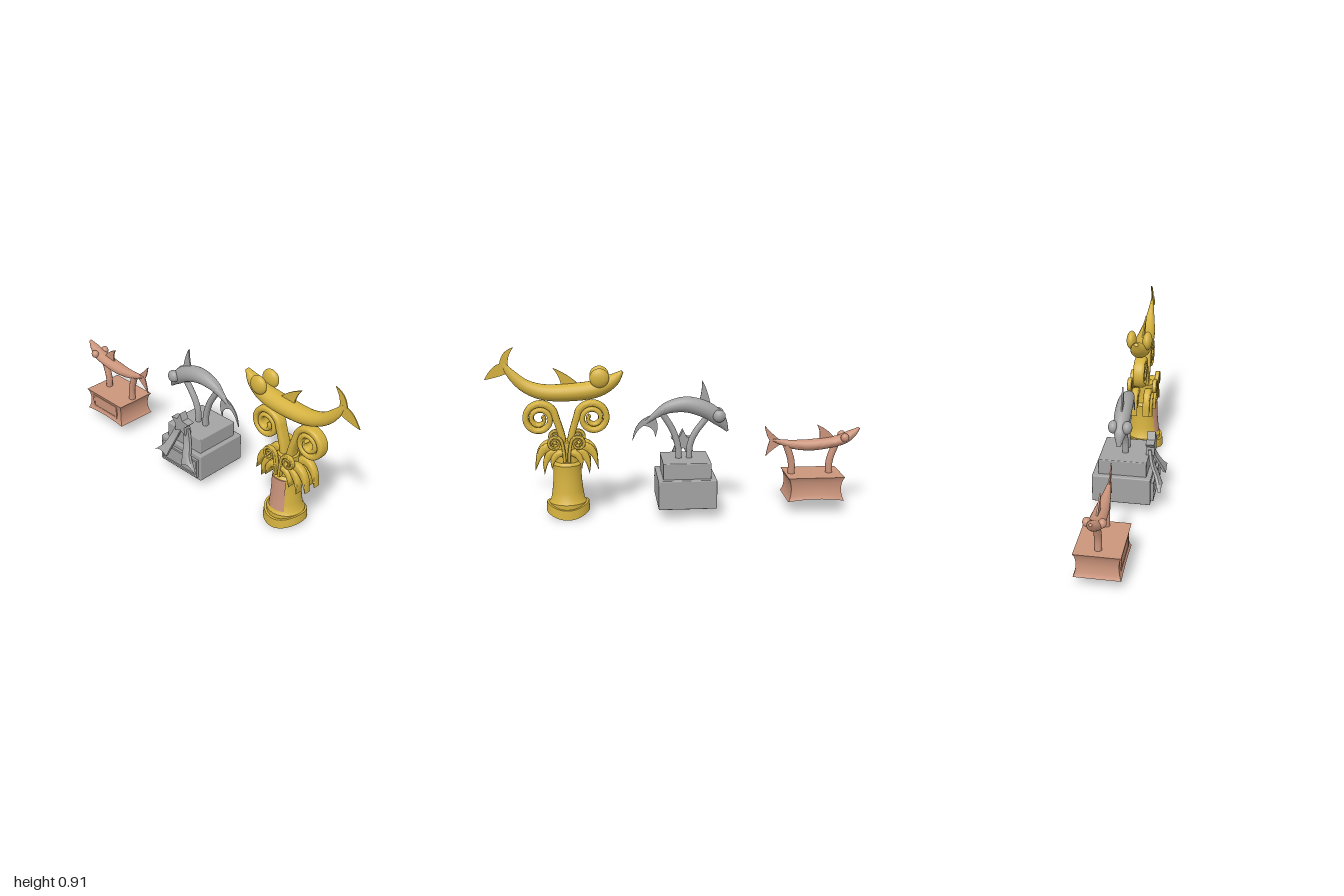
import * as THREE from 'three';
import { toCreasedNormals } from 'three/addons/utils/BufferGeometryUtils.js';
import { RoundedBoxGeometry } from 'three/addons/geometries/RoundedBoxGeometry.js';

const ZC = -0.025; // shared centre plane of the three trophies

function material(name, color) {
  const m = new THREE.MeshStandardMaterial({ color, side: THREE.DoubleSide });
  m.name = name;
  return m;
}

function add(group, name, geometry, mat, x = 0, y = 0, z = 0) {
  const mesh = new THREE.Mesh(geometry, mat);
  mesh.name = name;
  mesh.position.set(x, y, z);
  group.add(mesh);
  return mesh;
}

// Loft along a path in the xy plane; stations are [x, y, half height, half depth].
function sweep(stations, steps = 32, power = 1, sides = 20) {
  const spline = (i) => new THREE.CatmullRomCurve3(
    stations.map((s) => new THREE.Vector3(s[i], s[i + 1], 0)), false, 'catmullrom');
  const path = spline(0), size = spline(2);
  const pos = [], idx = [];
  const bend = (v) => Math.sign(v) * Math.pow(Math.abs(v), power);
  for (let i = 0; i <= steps; i++) {
    const t = i / steps, p = path.getPoint(t), d = path.getTangent(t), s = size.getPoint(t);
    const h = Math.max(s.x, 0.001), w = Math.max(s.y, 0.001);
    for (let j = 0; j < sides; j++) {
      const a = (j / sides) * Math.PI * 2, c = bend(Math.cos(a)) * h;
      pos.push(p.x - d.y * c, p.y + d.x * c, bend(Math.sin(a)) * w);
    }
  }
  for (let i = 0; i < steps; i++) for (let j = 0; j < sides; j++) {
    const k = (j + 1) % sides, a = i * sides + j, b = i * sides + k;
    idx.push(a, b, a + sides, b, b + sides, a + sides);
  }
  const last = steps * sides;
  for (let j = 1; j < sides - 1; j++) idx.push(0, j + 1, j, last, last + j, last + j + 1);
  const g = new THREE.BufferGeometry();
  g.setAttribute('position', new THREE.Float32BufferAttribute(pos, 3));
  g.setIndex(idx);
  return toCreasedNormals(g, 0.75);
}

// Thin plate with a smooth or straight outline, centred in depth.
function plate(points, depth, curved = false) {
  const v = points.map(([x, y]) => new THREE.Vector2(x, y));
  const shape = new THREE.Shape();
  if (curved) {
    shape.moveTo(v[0].x, v[0].y);
    for (let i = 1; i < v.length; i += 2) {
      const e = v[(i + 1) % v.length];
      shape.quadraticCurveTo(v[i].x, v[i].y, e.x, e.y);
    }
  } else shape.setFromPoints(v);
  return new THREE.ExtrudeGeometry(shape, { depth, bevelEnabled: false }).translate(0, 0, -depth / 2);
}

// Raised rectangular border around a thin panel
function framedPanel(group, mat, x, y, z, w, h, depth) {
  const rect = (s, a, b) => s.moveTo(-a, -b).lineTo(a, -b).lineTo(a, b).lineTo(-a, b).closePath();
  const rim = rect(new THREE.Shape(), w / 2, h / 2);
  rim.holes.push(rect(new THREE.Path(), w / 2 - 0.012, h / 2 - 0.012));
  add(group, 'panelFrame', new THREE.ExtrudeGeometry(rim, { depth, bevelEnabled: false }), mat, x, y, z);
  add(group, 'panel', new THREE.BoxGeometry(w - 0.02, h - 0.02, 0.008), mat, x, y, z + 0.004);
}

function fish(mat, { body, eye, fin, tail }) {
  const g = new THREE.Group();
  g.name = 'fish';
  g.position.z = ZC;
  add(g, 'body', sweep(body, 48), mat);
  add(g, 'dorsalFin', plate(fin, 0.008, true), mat);
  add(g, 'tailFin', plate(tail, 0.006, true), mat);
  const [x, y, r, rz, z] = eye;
  for (const s of [1, -1]) {
    add(g, s > 0 ? 'frontEye' : 'backEye', new THREE.SphereGeometry(1, 24, 16), mat, x, y, s * z).scale.set(r, r, rz);
  }
  return g;
}

function bronzeTrophy(mat) {
  const g = new THREE.Group();
  g.name = 'bronzeTrophy';
  // waisted plinth
  const base = new THREE.BoxGeometry(1, 1, 1, 10, 12, 10), p = base.attributes.position;
  for (let i = 0; i < p.count; i++) {
    const x = p.getX(i), t = p.getY(i) + 0.5, z = p.getZ(i);
    const s = 1 - 0.11 * Math.pow(Math.max(0, Math.sin(Math.PI * t)), 0.7);
    const lift = 0.012 * (1 - 4 * x * x) * (1 - t);
    p.setXYZ(i, x * 0.305 * s, 0.07 + t * 0.13 + lift, z * 0.235 * s);
  }
  add(g, 'plinth', toCreasedNormals(base, 0.6), mat, -0.748, 0, -0.022);
  framedPanel(g, mat, -0.75, 0.138, 0.08, 0.21, 0.08, 0.01);
  const posts = [
    [[-0.838, 0.19, 0.019, 0.019], [-0.84, 0.27, 0.019, 0.019], [-0.875, 0.37, 0.019, 0.019]],
    [[-0.63, 0.19, 0.019, 0.019], [-0.628, 0.27, 0.019, 0.019], [-0.6, 0.36, 0.019, 0.019]],
  ];
  for (const s of posts) add(g, 'post', sweep(s, 14), mat, 0, 0, ZC);
  g.add(fish(mat, {
    body: [[-1, 0.445, 0.006, 0.008], [-0.955, 0.41, 0.024, 0.028], [-0.89, 0.378, 0.028, 0.04],
      [-0.75, 0.357, 0.031, 0.037], [-0.64, 0.36, 0.025, 0.025], [-0.56, 0.378, 0.013, 0.012], [-0.52, 0.39, 0.006, 0.004]],
    eye: [-0.912, 0.4, 0.023, 0.02, 0.037],
    fin: [[-0.87, 0.385], [-0.83, 0.44], [-0.765, 0.467], [-0.79, 0.43], [-0.78, 0.385], [-0.82, 0.37]],
    tail: [[-0.585, 0.372], [-0.53, 0.41], [-0.48, 0.468], [-0.49, 0.41], [-0.508, 0.385],
      [-0.495, 0.35], [-0.487, 0.298], [-0.53, 0.345]],
  }));
  return g;
}

function silverTrophy(mat) {
  const g = new THREE.Group(), cx = -0.05;
  g.name = 'silverTrophy';
  add(g, 'lowerPlinth', new RoundedBoxGeometry(0.31, 0.157, 0.315, 2, 0.006), mat, cx, 0.138, -0.0275);
  add(g, 'upperPlinth', new RoundedBoxGeometry(0.255, 0.1, 0.26, 2, 0.005), mat, cx, 0.252, -0.025);
  framedPanel(g, mat, cx, 0.135, 0.129, 0.275, 0.11, 0.016);
  // star ornament
  const star = [];
  for (let i = 0; i < 10; i++) {
    const a = Math.PI / 2 + (i * Math.PI) / 5, r = i % 2 ? 0.034 : 0.068;
    star.push([Math.cos(a) * r, Math.sin(a) * r]);
  }
  add(g, 'star', plate(star, 0.045), mat, cx, 0.358, 0.1125);
  // two flaring ribbons: rows of y, z, inner x, outer x
  const row = new THREE.CatmullRomCurve3([[0.335, 0.11], [0.265, 0.125], [0.2, 0.155], [0.145, 0.178]]
    .map(([y, z]) => new THREE.Vector3(0, y, z)));
  const edge = new THREE.CatmullRomCurve3([[0, 0.045], [0.027, 0.072], [0.045, 0.1], [0.06, 0.155]]
    .map(([a, b]) => new THREE.Vector3(a, b, 0)));
  for (const s of [1, -1]) {
    const rib = new THREE.BoxGeometry(1, 1, 1, 6, 14, 1), p = rib.attributes.position;
    for (let i = 0; i < p.count; i++) {
      const u = 0.5 + s * p.getX(i), v = 0.5 - p.getY(i);
      const c = row.getPoint(v), e = edge.getPoint(v);
      const notch = 0.022 * Math.sin(u * Math.PI) * v * v;
      p.setXYZ(i, s * (e.x + (e.y - e.x) * u), c.y + notch, c.z + p.getZ(i) * 0.016);
    }
    add(g, s > 0 ? 'leftRibbon' : 'rightRibbon', toCreasedNormals(rib, 0.6), mat, cx);
  }
  const r = 0.017;
  const posts = [
    [[-0.07, 0.29, r, r], [-0.075, 0.37, r, r], [-0.105, 0.44, r, r], [-0.165, 0.52, r, r]],
    [[-0.015, 0.29, r, r], [-0.01, 0.37, r, r], [0.02, 0.46, r, r], [0.075, 0.55, r, r]],
  ];
  for (const s of posts) add(g, 'post', sweep(s, 18), mat, 0, 0, ZC);
  g.add(fish(mat, {
    body: [[-0.277, 0.445, 0.007, 0.01], [-0.235, 0.505, 0.036, 0.032], [-0.165, 0.56, 0.045, 0.043],
      [-0.06, 0.592, 0.043, 0.042], [0.04, 0.578, 0.032, 0.032], [0.11, 0.537, 0.018, 0.016], [0.165, 0.495, 0.009, 0.005]],
    eye: [-0.228, 0.533, 0.034, 0.027, 0.036],
    fin: [[-0.185, 0.59], [-0.17, 0.67], [-0.14, 0.72], [-0.14, 0.66], [-0.125, 0.61], [-0.15, 0.58]],
    tail: [[0.12, 0.54], [0.225, 0.515], [0.232, 0.4], [0.205, 0.47], [0.168, 0.482],
      [0.11, 0.47], [0.112, 0.415], [0.08, 0.49]],
  }));
  return g;
}

// Stem rising into an inward spiral; mirrored by side
function volute(side, stem, cx, cy, r0, r1, turns, h, d) {
  const st = stem.map(([x, y]) => [x, y, h, d]), n = Math.round(turns * 12);
  for (let i = 0; i <= n; i++) {
    const t = i / n, a = Math.PI - t * turns * Math.PI * 2, r = r0 + (r1 - r0) * t;
    st.push([cx + Math.cos(a) * r, cy + Math.sin(a) * r, h * (1 - 0.45 * t), d]);
  }
  return sweep(st.map(([x, ...rest]) => [side * x, ...rest]), st.length * 4, 0.6, 20);
}

function goldTrophy(mat, plaqueMat) {
  const g = new THREE.Group(), cx = 0.58;
  g.name = 'goldTrophy';
  // saddle-shaped foot
  const foot = new THREE.CylinderGeometry(0.112, 0.116, 0.05, 48, 1).toNonIndexed(), p = foot.attributes.position;
  for (let i = 0; i < p.count; i++) {
    const x = p.getX(i) / 0.115, z = p.getZ(i) / 0.115;
    p.setY(i, p.getY(i) + 0.04 + 0.018 * x * x - 0.012 * z * z);
  }
  add(g, 'foot', toCreasedNormals(foot, 0.6), mat, cx, 0, ZC);
  // waisted column with its curved plaque
  const v2 = (a) => a.map(([r, y]) => new THREE.Vector2(r, y));
  const column = [[0, 0.05], [0.1, 0.05], [0.1, 0.08], [0.09, 0.092], [0.082, 0.14], [0.076, 0.2],
    [0.073, 0.26], [0.075, 0.285], [0.062, 0.3], [0.055, 0.41], [0, 0.41]];
  add(g, 'column', toCreasedNormals(new THREE.LatheGeometry(v2(column), 40), 0.6), mat, cx, 0, ZC);
  const plaque = [[0.08, 0.1], [0.092, 0.1], [0.086, 0.15], [0.082, 0.21], [0.08, 0.285], [0.066, 0.285]];
  add(g, 'plaque', toCreasedNormals(new THREE.LatheGeometry(v2(plaque), 12, -0.62, 1.24), 0.6), plaqueMat, cx, 0, ZC);
  for (const s of [1, -1]) {
    // large scrolls
    add(g, 'largeScroll', volute(s, [[0.018, 0.34], [0.024, 0.43]], 0.14, 0.531, 0.087, 0.022, 2.1, 0.018, 0.032), mat, cx, 0, ZC);
    // small scrolls, front and back
    for (const z of [0.073, -0.073]) {
      add(g, 'smallScroll', volute(s, [[0.012, 0.31], [0.014, 0.36]], 0.061, 0.412, 0.039, 0.012, 1.7, 0.009, 0.013), mat, cx, 0, ZC + z);
    }
    // drooping pointed leaves in two layers
    const leaves = [
      [[0.05, 0.375, 0.018], [0.1, 0.385, 0.022], [0.142, 0.345, 0.017], [0.165, 0.265, 0.001]],
      [[0.04, 0.345, 0.018], [0.08, 0.355, 0.02], [0.11, 0.31, 0.015], [0.118, 0.245, 0.001]],
      [[0.02, 0.36, 0.015], [0.05, 0.35, 0.018], [0.072, 0.32, 0.014], [0.078, 0.275, 0.001]],
    ];
    leaves.forEach((leaf, i) => {
      const d = [0.02, 0.022, 0.03][i], z0 = [0.036, 0.046, 0.052][i];
      const geo = sweep(leaf.map(([x, y, h]) => [s * x, y, h, d]), 18, 0.5);
      for (const z of [z0, -z0]) add(g, 'leaf', geo, mat, cx, 0, ZC + z);
    });
  }
  g.add(fish(mat, {
    body: [[0.282, 0.775, 0.009, 0.012], [0.335, 0.728, 0.036, 0.038], [0.42, 0.686, 0.046, 0.052],
      [0.55, 0.67, 0.047, 0.055], [0.69, 0.672, 0.042, 0.046], [0.79, 0.708, 0.034, 0.03],
      [0.86, 0.772, 0.024, 0.014], [0.895, 0.825, 0.01, 0.004]],
    eye: [0.403, 0.75, 0.051, 0.027, 0.045],
    fin: [[0.5, 0.7], [0.56, 0.765], [0.645, 0.8], [0.61, 0.76], [0.6, 0.7], [0.55, 0.68]],
    tail: [[0.865, 0.78], [0.89, 0.85], [0.842, 0.91], [0.905, 0.895], [0.917, 0.825],
      [0.96, 0.815], [0.998, 0.742], [0.92, 0.755]],
  }));
  return g;
}

export function createModel() {
  const bronze = material('bronze', 0xcb947b);
  const silver = material('silver', 0xa3a3a3);
  const gold = material('gold', 0xd4b13f);
  const model = new THREE.Group();
  model.name = 'fishTrophies';
  model.add(bronzeTrophy(bronze), silverTrophy(silver), goldTrophy(gold, bronze));
  return model;
}
